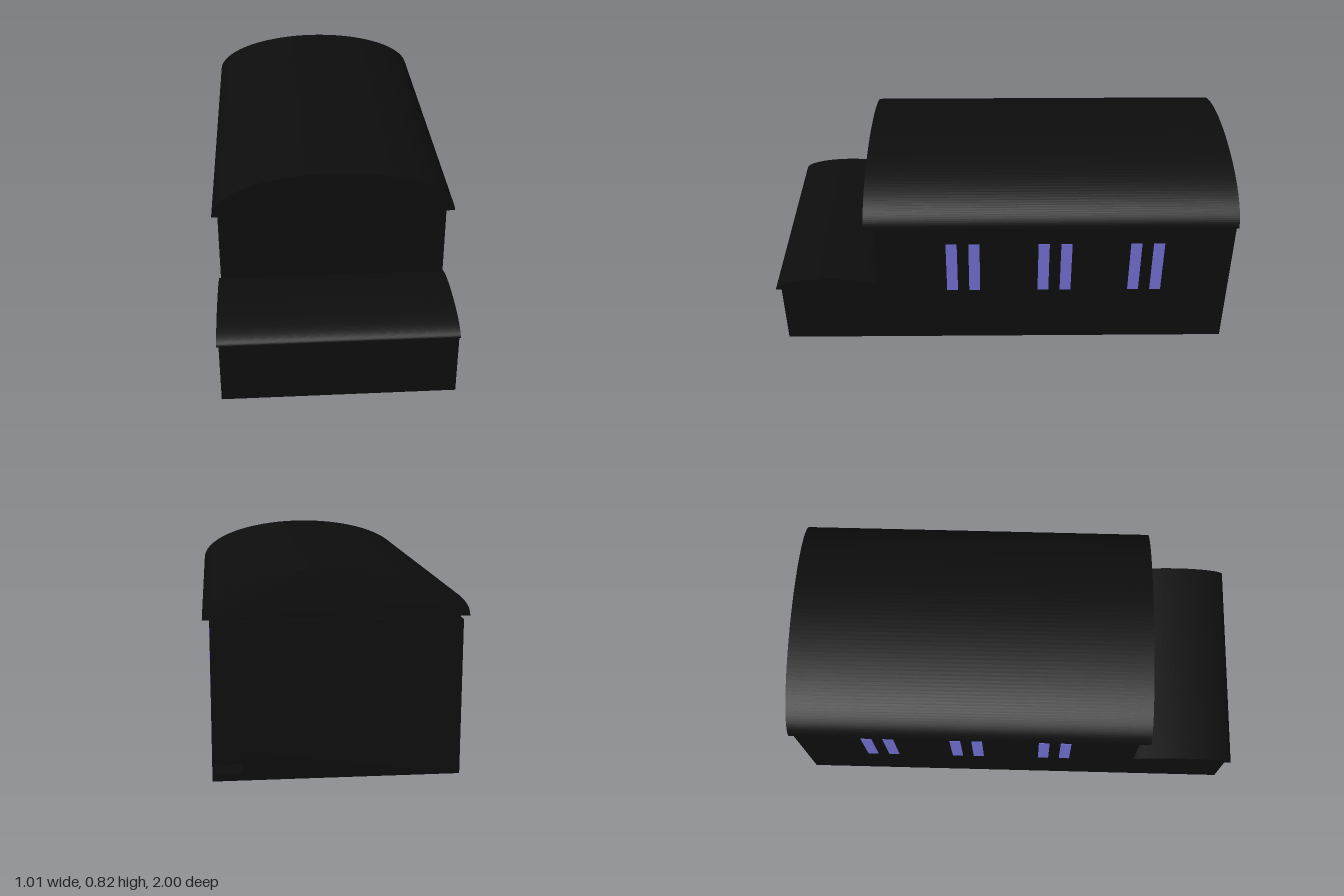
import * as THREE from 'three';

export function createModel() {
  const group = new THREE.Group();
  group.name = 'hall';
  const black = new THREE.MeshStandardMaterial({ color: 0x0d0d0d });
  black.name = 'black';
  const violet = new THREE.MeshStandardMaterial({ color: 0x6e6ccc });
  violet.name = 'violet glass';

  const add = (name, geometry, material = black) => {
    const mesh = new THREE.Mesh(geometry, material);
    mesh.name = name;
    group.add(mesh);
    return mesh;
  };
  // Box given by its lower and upper limits
  const box = (name, x0, x1, y0, y1, z0, z1, material) =>
    add(name, new THREE.BoxGeometry(x1 - x0, y1 - y0, z1 - z0), material)
      .position.set((x0 + x1) / 2, (y0 + y1) / 2, (z0 + z1) / 2);
  // Solid half-ellipse vault, extruded along z
  const vault = (halfWidth, height, length) => {
    const shape = new THREE.Shape();
    shape.absellipse(0, 0, halfWidth, height, 0, Math.PI, false, 0);
    shape.closePath();
    return new THREE.ExtrudeGeometry(shape, { depth: length, bevelEnabled: false, curveSegments: 40 });
  };

  const L = -0.482, R = 0.478, back = -0.998, front = 0.545;

  // Main hall and its end section with a small opening at the foot of the wall
  box('mainHall', L, R, 0, 0.615, -0.9, front);
  const endShape = new THREE.Shape();
  endShape.moveTo(L, 0).lineTo(R, 0).lineTo(R, 0.615).lineTo(L, 0.615).closePath();
  const opening = new THREE.Path();
  opening.moveTo(0.36, 0.03).lineTo(0.36, 0.12).lineTo(0.47, 0.12).lineTo(0.47, 0.03).closePath();
  endShape.holes.push(opening);
  add('backWall', new THREE.ExtrudeGeometry(endShape, { depth: -0.9 - back, bevelEnabled: false }))
    .position.z = back;

  // Wall top with narrow vents left between the blocks that carry the roof
  box('wallTop', L + 0.01, R - 0.01, 0.615, 0.622, back, front);
  for (let i = 0; i < 3; i++) {
    const x = -0.48 + i * 0.319;
    for (const z of [back, front - 0.02]) {
      box('endBlock', x + 0.012, x + 0.307, 0.622, 0.632, z, z + 0.02);
    }
  }
  for (let i = 0; i < 6; i++) {
    const z = -0.998 + i * 0.257;
    for (const x of [L + 0.01, R - 0.03]) {
      box('sideBlock', x, x + 0.02, 0.622, 0.632, z + 0.01, z + 0.247);
    }
  }

  // Main roof
  add('mainRoof', vault(0.505, 0.19, 1.585)).position.set(0, 0.63, -1);

  // Low front annex with a roof vaulted crosswise
  box('annex', L, R, 0, 0.288, front, 0.975);
  const annexRoof = add('annexRoof', vault(0.235, 0.057, 0.967));
  annexRoof.rotation.y = Math.PI / 2;
  annexRoof.position.set(-0.489, 0.285, 0.765);

  // Three pairs of tall windows on each side
  for (const centre of [0.17, -0.23, -0.628]) {
    for (const offset of [-0.049, 0.049]) {
      const z = centre + offset;
      box('rightWindow', L - 0.003, L + 0.003, 0.277, 0.53, z - 0.024, z + 0.024, violet);
      box('leftWindow', R - 0.003, R + 0.003, 0.277, 0.53, z - 0.024, z + 0.024, violet);
    }
  }
  return group;
}
